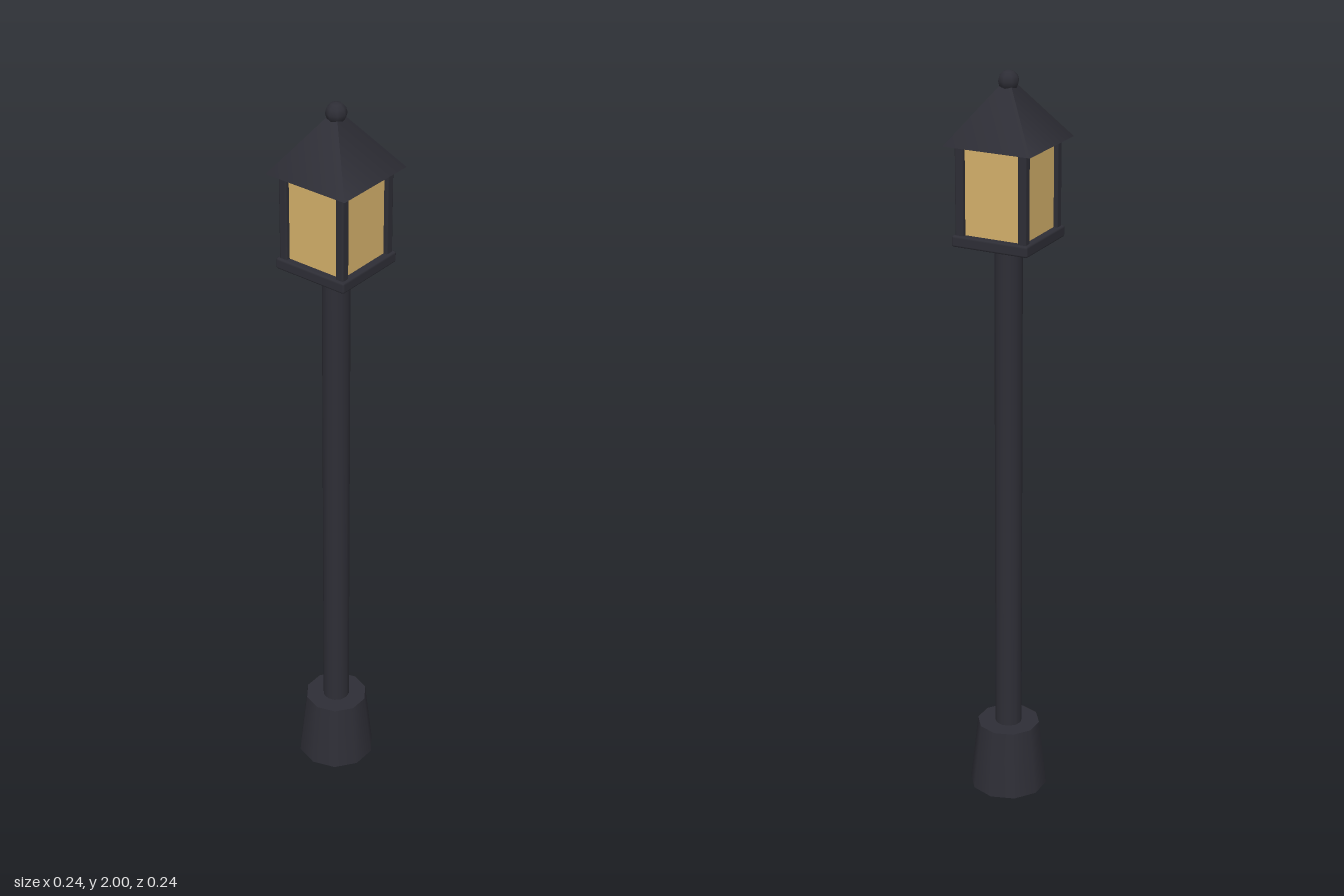
import * as THREE from 'three';
import { RoundedBoxGeometry } from 'three/addons/geometries/RoundedBoxGeometry.js';

export function createModel() {
  const lamp = new THREE.Group();
  lamp.name = 'streetLamp';

  const iron = new THREE.MeshStandardMaterial({ color: 0x2e2e36 });
  iron.name = 'dark iron';
  const amber = new THREE.MeshStandardMaterial({ color: 0xd4b06a });
  amber.name = 'amber glass';

  function add(name, geometry, material, x, y, z) {
    const mesh = new THREE.Mesh(geometry, material);
    mesh.name = name;
    mesh.position.set(x, y, z);
    lamp.add(mesh);
    return mesh;
  }

  // Tapered foot and pole
  add('foot', new THREE.CylinderGeometry(0.085, 0.106, 0.19, 10), iron, 0, 0.095, 0);
  add('pole', new THREE.CylinderGeometry(0.036, 0.036, 1.39, 12), iron, 0, 0.88, 0);

  // Lantern tray with softened edges
  add('lanternTray', new RoundedBoxGeometry(0.212, 0.03, 0.212, 1, 0.006), iron, 0, 1.58, 0);

  // Glass body, slightly recessed between the posts
  add('glass', new THREE.BoxGeometry(0.176, 0.232, 0.176), amber, 0, 1.71, 0);

  // Four corner posts
  for (const sx of [-1, 1]) {
    for (const sz of [-1, 1]) {
      add('cornerPost', new RoundedBoxGeometry(0.024, 0.24, 0.024, 1, 0.005), iron,
        sx * 0.087, 1.71, sz * 0.087);
    }
  }

  // Pyramid roof and ball finial
  const roof = add('roof', new THREE.ConeGeometry(0.12 * Math.SQRT2, 0.162, 4), iron, 0, 1.903, 0);
  roof.rotation.y = Math.PI / 4;
  add('finial', new THREE.SphereGeometry(0.027, 8, 6), iron, 0, 1.973, 0);

  return lamp;
}
